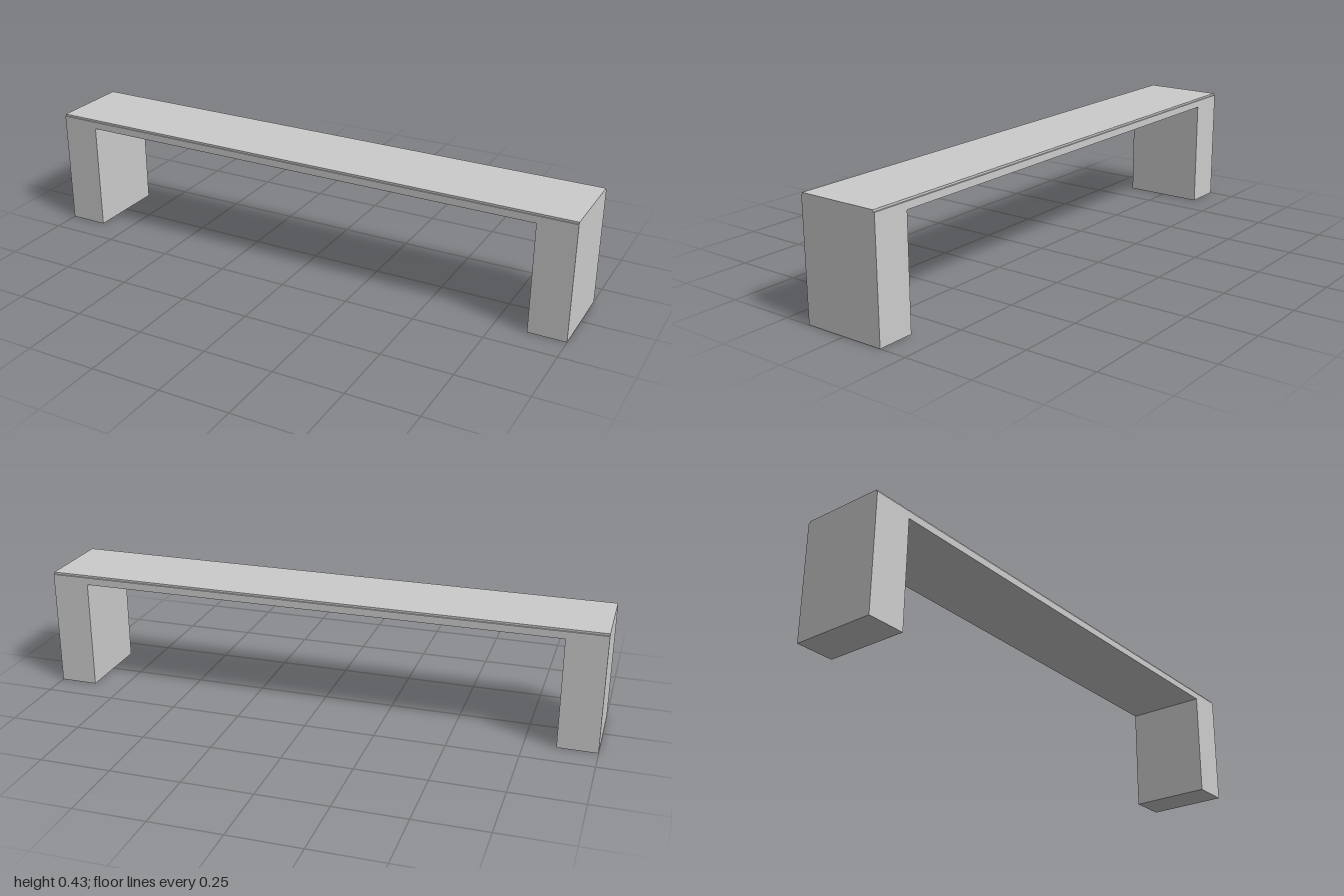
import * as THREE from 'three';

const LENGTH = 2, DEPTH = 0.302, UNDERSIDE = 0.395, SHOULDER = 0.421, TOP = 0.428;

export function createModel() {
  const model = new THREE.Group();
  model.name = 'bench';
  const material = new THREE.MeshStandardMaterial({ color: 0xcccccc, flatShading: true });

  // Box placed by its lower and upper corners
  const addBox = (name, [x0, y0, z0], [x1, y1, z1]) => {
    const mesh = new THREE.Mesh(new THREE.BoxGeometry(x1 - x0, y1 - y0, z1 - z0), material);
    mesh.position.set((x0 + x1) / 2, (y0 + y1) / 2, (z0 + z1) / 2);
    mesh.name = name;
    model.add(mesh);
  };

  const x = LENGTH / 2, z = DEPTH / 2;

  // Solid slab legs at both ends
  addBox('rightLeg', [-x, 0, -z], [-0.86, UNDERSIDE, z]);
  addBox('leftLeg', [0.865, 0, -z], [x, UNDERSIDE, z]);

  // Seat board, with a slightly narrower top layer leaving a small step along front and back
  addBox('seatBoard', [-x, UNDERSIDE, -z], [x, SHOULDER, z]);
  addBox('seatTop', [-x, SHOULDER, -0.145], [x, TOP, 0.147]);

  return model;
}
